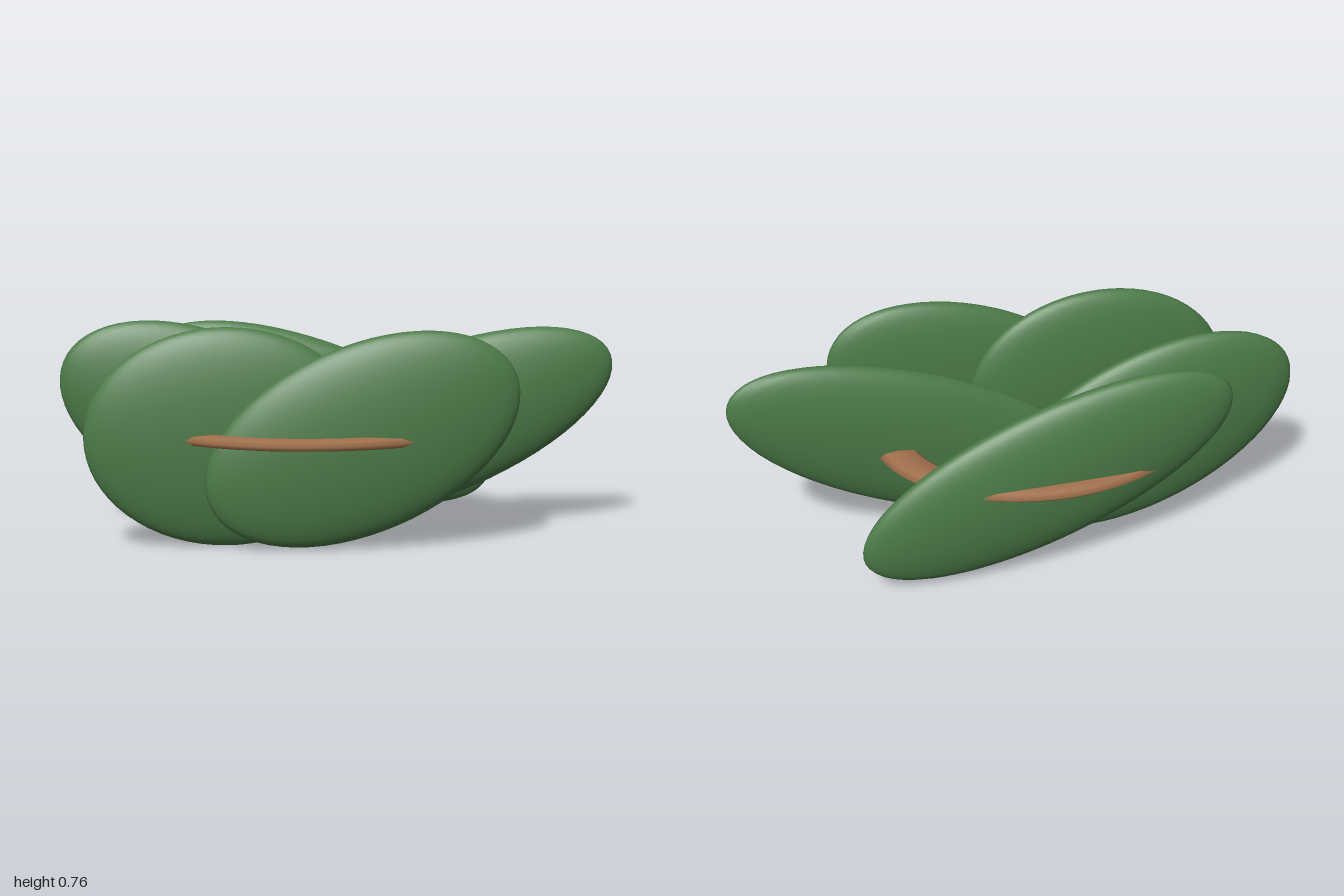
import * as THREE from 'three';

const MID_Y = 0.383;

export function createModel() {
  const model = new THREE.Group();
  model.name = 'leafRing';

  const green = new THREE.MeshStandardMaterial({ color: 0x4c7a48 });
  green.name = 'leaf green';
  const brown = new THREE.MeshStandardMaterial({ color: 0xa0704c });
  brown.name = 'bark brown';

  // Flattened oval ring threading through the leaves
  const ringGeometry = new THREE.TorusGeometry(0.5225, 0.0675, 8, 64);
  ringGeometry.rotateX(Math.PI / 2);
  ringGeometry.scale(1, 0.32, 0.805);
  const ring = new THREE.Mesh(ringGeometry, brown);
  ring.name = 'ring';
  ring.position.set(-0.09, MID_Y, 0);
  model.add(ring);

  // Upright lens-shaped leaves: centre x, z, half length, half width, tilt
  const leaves = [
    ['frontLeaf', 0.067, 0.318, 0.568, 0.321, 0.408],
    ['frontRightLeaf', -0.397, 0.23, 0.488, 0.379, 0],
    ['middleLeftLeaf', 0.34, 0, 0.696, 0.266, 0.371],
    ['backRightLeaf', -0.463, -0.152, 0.568, 0.321, -0.408],
    ['backLeaf', -0.047, -0.338, 0.696, 0.266, -0.371],
  ];
  for (const [name, x, z, length, width, tilt] of leaves) {
    const geometry = new THREE.SphereGeometry(1, 48, 32);
    geometry.scale(length, width, 0.083);
    const leaf = new THREE.Mesh(geometry, green);
    leaf.name = name;
    leaf.position.set(x, MID_Y, z);
    leaf.rotation.z = tilt;
    model.add(leaf);
  }

  return model;
}
